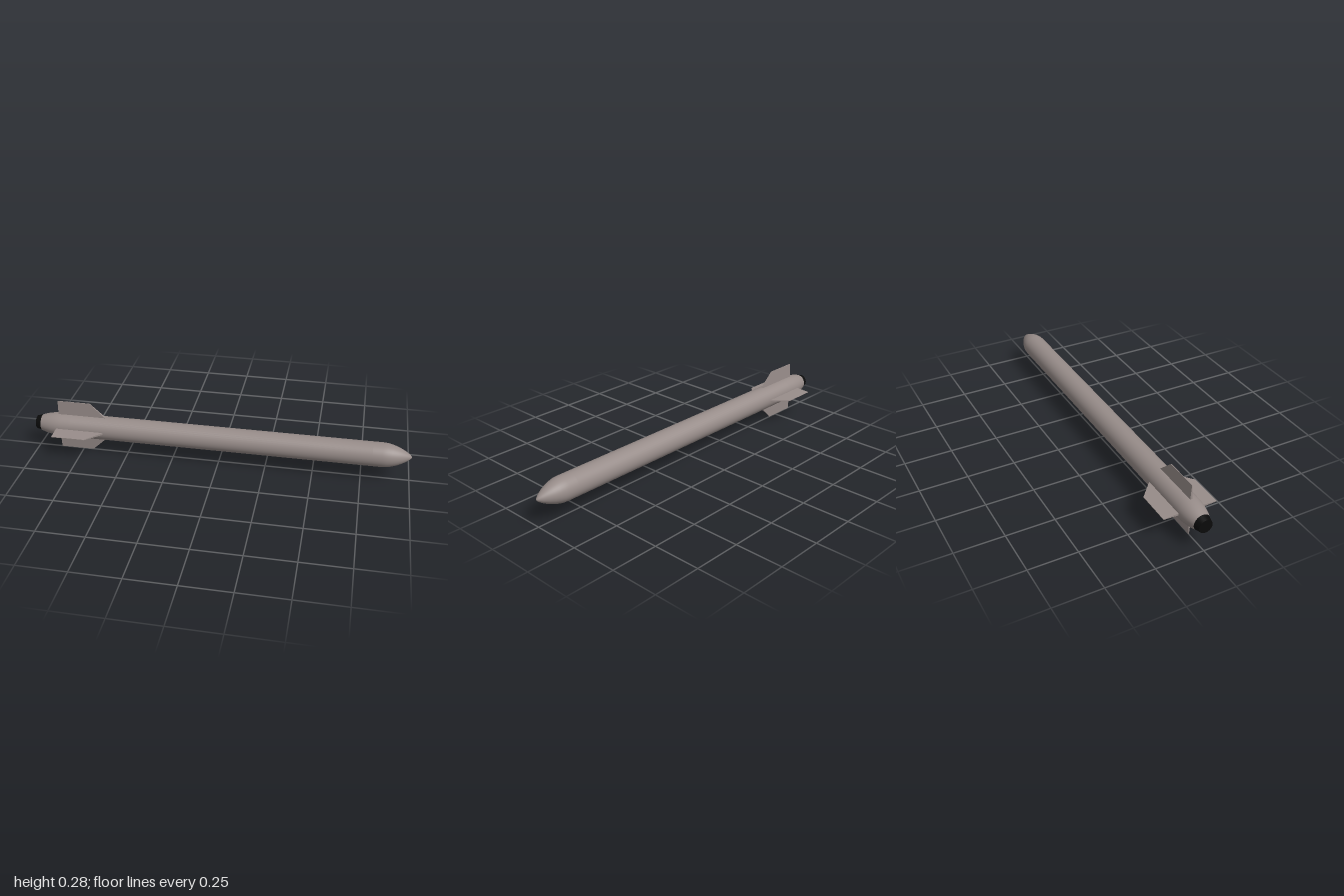
import * as THREE from 'three';

const AXIS_Y = 0.141;

// Revolves [x, radius] pairs around the long axis
function revolve(profile) {
  const pts = profile.map(([x, r]) => new THREE.Vector2(r, x));
  return new THREE.LatheGeometry(pts, 40).rotateZ(-Math.PI / 2);
}

// Swept fin, tapering in thickness from root to tip
function finGeometry() {
  const root = { r: 0.05, back: -0.875, front: -0.602, t: 0.0065 };
  const tip = { r: 0.141, back: -0.875, front: -0.697, t: 0.0015 };
  const geo = new THREE.BoxGeometry(1, 1, 1);
  const p = geo.attributes.position;
  for (let i = 0; i < p.count; i++) {
    const e = p.getY(i) > 0 ? tip : root;
    const x = p.getX(i) > 0 ? e.front : e.back;
    p.setXYZ(i, x, e.r, Math.sign(p.getZ(i)) * e.t);
  }
  geo.computeVertexNormals();
  return geo;
}

export function createModel() {
  const grey = new THREE.MeshStandardMaterial({ color: 0x978c89 });
  grey.name = 'warmGrey';
  const black = new THREE.MeshStandardMaterial({ color: 0x0a0a0a });
  black.name = 'black';

  const model = new THREE.Group();
  model.name = 'missile';
  const add = (name, geo, mat) => {
    const mesh = new THREE.Mesh(geo, mat);
    mesh.name = name;
    mesh.position.y = AXIS_Y;
    model.add(mesh);
    return mesh;
  };

  // Tail taper, cylindrical body and rounded nose in one smooth shell
  add('body', revolve([
    [-0.97, 0.044], [-0.94, 0.053], [-0.91, 0.059], [-0.88, 0.063], [-0.85, 0.064],
    [-0.8, 0.064], [0.8, 0.064], [0.85, 0.064], [0.875, 0.0625], [0.9, 0.057],
    [0.925, 0.049], [0.95, 0.038], [0.975, 0.024], [0.99, 0.013], [0.997, 0.006], [1, 0],
  ]), grey);

  // Exhaust nozzle and the plates closing the tail
  add('nozzle', revolve([[-1, 0.035], [-0.968, 0.043]]), black);
  const cap = add('nozzleEnd', new THREE.CircleGeometry(0.035, 40), black);
  cap.rotation.y = -Math.PI / 2;
  cap.position.x = -1;

  // Four fins around the tail
  const fin = finGeometry();
  ['topFin', 'leftFin', 'bottomFin', 'rightFin'].forEach((name, i) => {
    add(name, fin, grey).rotation.x = (i * Math.PI) / 2;
  });

  return model;
}
